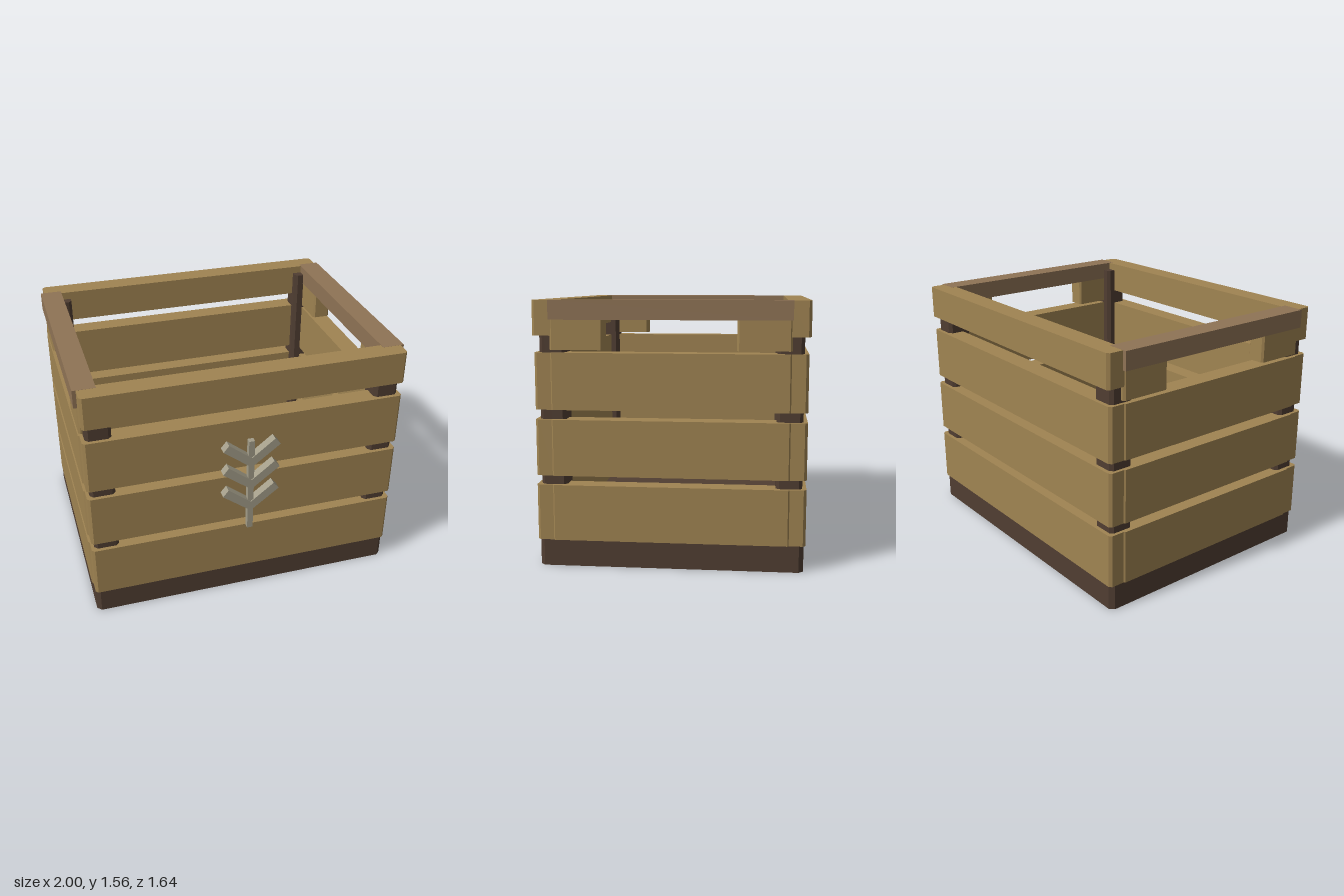
import * as THREE from 'three';

const material = (color) => new THREE.MeshStandardMaterial({ color, flatShading: true });

// Upright block with bevelled vertical corners, given by its x, y and z ranges
function block(name, mat, [x0, x1], [y0, y1], [z0, z1], c) {
  const s = new THREE.Shape();
  const a = -z1, b = -z0;
  s.moveTo(x0 + c, a);
  s.lineTo(x1 - c, a);
  if (c) s.lineTo(x1, a + c);
  s.lineTo(x1, b - c);
  if (c) s.lineTo(x1 - c, b);
  s.lineTo(x0 + c, b);
  if (c) s.lineTo(x0, b - c);
  s.lineTo(x0, a + c);
  s.closePath();
  const g = new THREE.ExtrudeGeometry(s, { depth: y1 - y0, bevelEnabled: false });
  g.rotateX(-Math.PI / 2);
  g.translate(0, y0, 0);
  const mesh = new THREE.Mesh(g, mat);
  mesh.name = name;
  return mesh;
}

export function createModel() {
  const crate = new THREE.Group();
  crate.name = 'crate';
  const plankMat = material(0xa08452);
  const handleMat = material(0x8f7355);
  const darkMat = material(0x503e32);
  const emblemMat = material(0xa39d89);

  const cz = -0.026; // the box sits slightly back to leave room for the emblem
  const zRange = (side, inner, outer) =>
    side > 0 ? [cz + inner, cz + outer] : [cz - outer, cz - inner];
  const xRange = (side, inner, outer) => (side > 0 ? [inner, outer] : [-outer, -inner]);

  // Base
  crate.add(block('base', darkMat, [-0.978, 0.978], [0, 0.16], [cz - 0.772, cz + 0.772], 0.027));

  // Corner posts
  for (const sx of [-1, 1]) {
    for (const sz of [-1, 1]) {
      crate.add(block('cornerPost', darkMat, xRange(sx, 0.807, 0.96), [0.15, 1.51],
        zRange(sz, 0.605, 0.758), 0.02));
    }
  }

  // Three rows of planks around the box
  for (const y of [0.157, 0.542, 0.929]) {
    for (const s of [-1, 1]) {
      crate.add(block('longPlank', plankMat, [-0.98, 0.98], [y, y + 0.33],
        zRange(s, 0.66, 0.782), 0.016));
      crate.add(block('sidePlank', plankMat, xRange(s, 0.868, 0.988), [y, y + 0.33],
        [cz - 0.69, cz + 0.69], 0.012));
    }
  }

  // Top rails, and the handles with their end blocks
  for (const s of [-1, 1]) {
    crate.add(block('topRail', plankMat, [-0.978, 0.978], [1.355, 1.558],
      zRange(s, 0.66, 0.793), 0.016));
    crate.add(block('handle', handleMat, xRange(s, 0.865, 1), [1.447, 1.5585],
      [cz - 0.692, cz + 0.692], 0));
    for (const sz of [-1, 1]) {
      crate.add(block('handleBlock', plankMat, xRange(s, 0.868, 0.984), [1.275, 1.45],
        zRange(sz, 0.38, 0.69), 0.012));
    }
  }

  // Front emblem: a stem with three pairs of raised leaves
  const emblem = new THREE.Group();
  emblem.name = 'emblem';
  const stem = new THREE.Mesh(new THREE.BoxGeometry(0.036, 0.635, 0.036), emblemMat);
  stem.name = 'stem';
  stem.position.set(0, 0.8225, 0.797);
  emblem.add(stem);
  const leaf = new THREE.Shape([
    [0, 0], [0.177, 0.135], [0.143, 0.178], [0, 0.065], [-0.143, 0.178], [-0.177, 0.135],
  ].map(([x, y]) => new THREE.Vector2(x, y)));
  const leafGeo = new THREE.ExtrudeGeometry(leaf, { depth: 0.054, bevelEnabled: false });
  for (let i = 0; i < 3; i++) {
    const pair = new THREE.Mesh(leafGeo, emblemMat);
    pair.name = 'leafPair';
    pair.position.set(0, 0.641 + i * 0.16, 0.767);
    emblem.add(pair);
  }
  crate.add(emblem);

  return crate;
}
